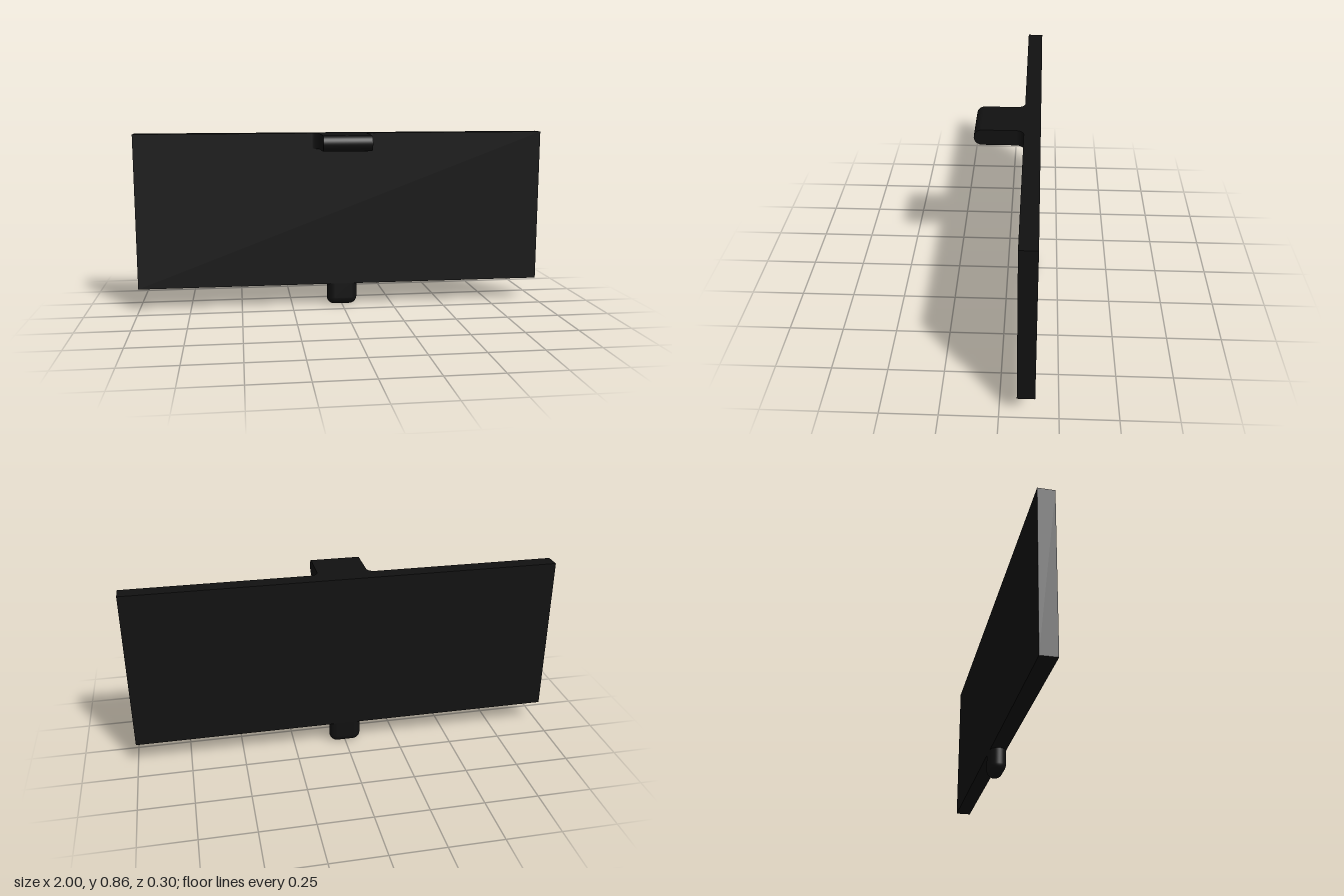
import * as THREE from 'three';
import { RoundedBoxGeometry } from 'three/addons/geometries/RoundedBoxGeometry.js';

export function createModel() {
  const model = new THREE.Group();
  const material = new THREE.MeshStandardMaterial({ color: 0x111111 });
  const add = (name, geometry, x = 0, y = 0, z = 0) => {
    const mesh = new THREE.Mesh(geometry, material);
    mesh.name = name;
    mesh.position.set(x, y, z);
    model.add(mesh);
    return mesh;
  };

  const thick = 0.075, r = thick / 2;
  const top = 0.86, bottom = 0.11;
  const plateFront = -0.075, plateZ = plateFront - r;

  // Flat rectangular plate
  add('plate', new THREE.BoxGeometry(2, top - bottom, thick), 0, (top + bottom) / 2, plateZ);

  // Tab with filleted root, drawn in plan and extruded downwards
  const half = 0.115, fillet = 0.035, tipZ = 0.15 - r;
  const plan = new THREE.Shape();
  plan.moveTo(-half - fillet, plateFront);
  plan.absarc(-half - fillet, plateFront + fillet, fillet, -Math.PI / 2, 0, false);
  plan.lineTo(-half, tipZ);
  plan.lineTo(half, tipZ);
  plan.lineTo(half, plateFront + fillet);
  plan.absarc(half + fillet, plateFront + fillet, fillet, Math.PI, Math.PI * 1.5, false);
  plan.closePath();
  const tab = new THREE.ExtrudeGeometry(plan, { depth: thick, bevelEnabled: false, curveSegments: 12 });
  tab.rotateX(Math.PI / 2);
  add('tab', tab, 0, top, 0);

  // Half-round nose on the tab
  const nose = new THREE.CylinderGeometry(r, r, half * 2, 24, 1, false, 0, Math.PI);
  nose.rotateZ(Math.PI / 2).rotateX(Math.PI / 2);
  add('tabNose', nose, 0, top - r, tipZ);

  // Rounded peg, cut flat where it meets the plate
  const peg = new RoundedBoxGeometry(0.15, bottom * 2, thick, 8, r);
  const pos = peg.attributes.position;
  for (let i = 0; i < pos.count; i++) pos.setY(i, Math.min(pos.getY(i), 0));
  add('peg', peg, 0, bottom, plateZ);

  return model;
}
